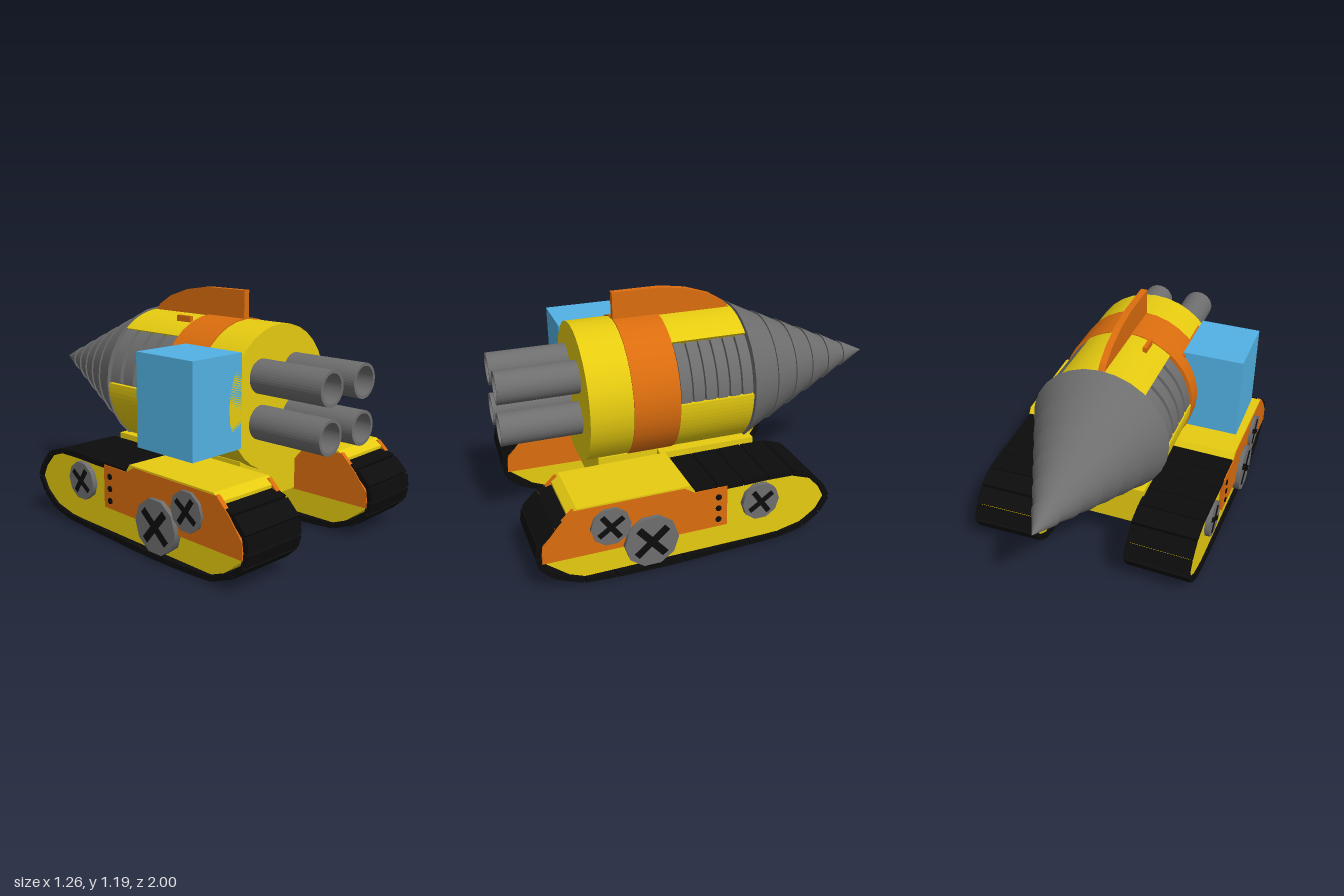
import * as THREE from 'three';

const paint = (name, color) => {
  const m = new THREE.MeshStandardMaterial({ color });
  m.name = name;
  return m;
};

export function createModel() {
  const yellow = paint('yellow', 0xe6cb10), orange = paint('orange', 0xdb6d0e);
  const grey = paint('grey', 0x6e6e6e), black = paint('black', 0x0c0c0c), blue = paint('blue', 0x52b2e4);
  const root = new THREE.Group();
  root.name = 'drillVehicle';

  const add = (parent, name, geo, mat, x = 0, y = 0, z = 0) => {
    const m = new THREE.Mesh(geo, mat);
    m.name = name;
    m.position.set(x, y, z);
    parent.add(m);
    return m;
  };
  const box = (w, h, d) => new THREE.BoxGeometry(w, h, d);
  // cylinder lying along z
  const zCyl = (front, back, len, sides = 32) =>
    new THREE.CylinderGeometry(front, back, len, sides).rotateX(Math.PI / 2);
  // side profile given as (z, y) pairs, extruded across x and centred on x = 0
  const side = (pts, width) => new THREE.ExtrudeGeometry(
    new THREE.Shape(pts.map(p => new THREE.Vector2(p[0], p[1]))), { depth: width, bevelEnabled: false })
    .rotateY(-Math.PI / 2).translate(width / 2, 0, 0);
  // curved shell around the z axis, angles in degrees
  const shell = (r0, r1, a0, a1, len) => {
    const s = new THREE.Shape(), k = Math.PI / 180;
    s.absarc(0, 0, r1, a0 * k, a1 * k, false);
    s.absarc(0, 0, r0, a1 * k, a0 * k, true);
    return new THREE.ExtrudeGeometry(s, { depth: len, bevelEnabled: false, curveSegments: 24 });
  };

  // hull
  const hull = new THREE.Group();
  hull.name = 'hull';
  hull.position.set(-0.007, 0.705, 0);
  root.add(hull);
  add(hull, 'frontHull', zCyl(0.347, 0.347, 0.22), yellow, 0, 0, 0.5);
  add(hull, 'hullBand', zCyl(0.353, 0.353, 0.23), orange, 0, 0, 0.285);
  add(hull, 'hullCore', zCyl(0.322, 0.322, 0.39), grey, 0, 0, -0.02);
  add(hull, 'topShell', shell(0.3, 0.347, 52, 130, 0.38), yellow, 0, 0, -0.21);
  add(hull, 'bottomShell', shell(0.3, 0.347, 180, 360, 0.38), yellow, 0, 0, -0.21);

  // ribbed vents on both flanks
  const ribs = (name, a0, count) => {
    const pitch = 0.38 / count;
    for (let i = 0; i < count; i++)
      add(hull, name, shell(0.315, 0.342, a0, a0 + 50, pitch * 0.75), grey, 0, 0, -0.2 + i * pitch);
  };
  ribs('rightVentRib', 1, 6);
  ribs('leftVentRib', 129, 4);

  // drill made of stacked tapering rings
  const steps = [-0.215, -0.37, -0.5, -0.62, -0.74, -0.86, -1];
  const drillR = z => 0.352 * (z + 1) / 0.785;
  for (let i = 0; i < steps.length - 1; i++) {
    const a = steps[i], b = steps[i + 1], tip = i === steps.length - 2;
    add(hull, 'drillRing', zCyl(drillR(a) + 0.006, tip ? 0 : drillR(b) - 0.004, a - b, 28), grey, 0.004, 0, (a + b) / 2);
  }

  // hollow exhaust pipes
  for (const x of [-0.14, 0.1]) for (const y of [0.825, 0.61]) {
    const ring = new THREE.Shape().absarc(0, 0, 0.081, 0, Math.PI * 2);
    ring.holes.push(new THREE.Path().absarc(0, 0, 0.067, 0, Math.PI * 2, true));
    add(root, 'exhaustPipe', new THREE.ExtrudeGeometry(ring, { depth: 0.41, bevelEnabled: false, curveSegments: 20 }), grey, x, y, 0.59);
    add(root, 'pipePlug', zCyl(0.07, 0.07, 0.12, 20), grey, x, y, 0.66);
  }

  // top fin, side cabin and mounts
  add(root, 'topFin', side([[0.4, 1], [0.4, 1.19], [0.15, 1.19], [0.02, 1.17], [-0.1, 1.13],
    [-0.18, 1.08], [-0.21, 1.04], [-0.21, 1]], 0.034), orange, -0.008);
  add(root, 'finTab', box(0.02, 0.04, 0.09), orange, -0.13, 1.035, 0.11);
  add(root, 'cabin', box(0.31, 0.44, 0.35), blue, -0.43, 0.73, 0.435);
  add(root, 'cabinMount', box(0.025, 0.41, 0.31), orange, -0.272, 0.735, 0.41);

  // chassis
  add(root, 'chassis', box(0.41, 0.22, 0.8), yellow, -0.005, 0.31, 0.15);
  add(root, 'chassisFlange', box(0.5, 0.19, 0.5), yellow, 0, 0.325, 0);

  // track centreline and pod outlines as (z, y)
  const belt = [[0.945, 0.2], [0.935, 0.27], [0.865, 0.34], [0.77, 0.37], [0.63, 0.375], [0.49, 0.375], [0.35, 0.375],
    [0.21, 0.375], [0.08, 0.375], [-0.05, 0.375], [-0.18, 0.378], [-0.31, 0.375], [-0.41, 0.34], [-0.475, 0.27],
    [-0.51, 0.2], [-0.465, 0.125], [-0.38, 0.065], [-0.25, 0.037], [-0.09, 0.03], [0.08, 0.025], [0.25, 0.018],
    [0.42, 0.017], [0.59, 0.02], [0.74, 0.03], [0.87, 0.083], [0.93, 0.14]];
  const pod = [[0.93, 0.17], [0.92, 0.25], [0.85, 0.33], [0.76, 0.362], [-0.3, 0.364], [-0.4, 0.33], [-0.465, 0.265],
    [-0.497, 0.2], [-0.455, 0.13], [-0.37, 0.077], [-0.25, 0.048], [0.77, 0.042]];
  const plate = [[0.93, 0.17], [0.925, 0.25], [0.85, 0.345], [0.78, 0.412], [0.25, 0.412], [0.2, 0.38], [0.035, 0.38], [0.035, 0.17]];
  const fender = [[0.76, 0.42], [0.22, 0.42], [0.2, 0.39], [0.2, 0.3], [0.8, 0.3], [0.8, 0.39]];

  for (const s of [-1, 1]) {
    // each track toes out slightly toward the front
    const track = new THREE.Group();
    track.name = s > 0 ? 'rightTrack' : 'leftTrack';
    track.position.x = s * 0.42;
    track.rotation.y = s * 0.022;
    root.add(track);
    add(track, 'trackPod', side(pod, 0.31), yellow);
    add(track, 'fender', side(fender, 0.345), yellow);
    for (const k of [-1, 1]) add(track, 'sidePlate', side(plate, 0.024), orange, k * 0.163);

    // belt links
    belt.forEach((p, i) => {
      const q = belt[(i + 1) % belt.length];
      const dz = q[0] - p[0], dy = q[1] - p[1];
      const link = add(track, 'trackLink', box(0.34, 0.027, Math.hypot(dz, dy) - 0.006), black,
        0, (p[1] + q[1]) / 2, (p[0] + q[0]) / 2);
      link.rotation.x = Math.atan2(-dy, dz);
    });

    // outer wheels with cross slots
    for (const [z, y, r, out, turn] of [[0.61, 0.3, 0.096, 0.19, 0.6], [0.42, 0.18, 0.132, 0.198, 0.7], [-0.14, 0.26, 0.096, 0.182, 0.6]]) {
      const geo = new THREE.CylinderGeometry(r, r, 0.06, 10).rotateZ(Math.PI / 2);
      add(track, 'wheel', geo, grey, s * (out - 0.03), y, z);
      for (const t of [0, Math.PI / 2])
        add(track, 'wheelSlot', box(0.006, r * 0.27, r * 1.5), black, s * out, y, z).rotation.x = turn + t;
    }
    // plate bolts
    for (const y of [0.33, 0.27, 0.21])
      add(track, 'bolt', new THREE.CylinderGeometry(0.015, 0.015, 0.008, 10).rotateZ(Math.PI / 2), black, s * 0.176, y, 0.08);
  }
  return root;
}
